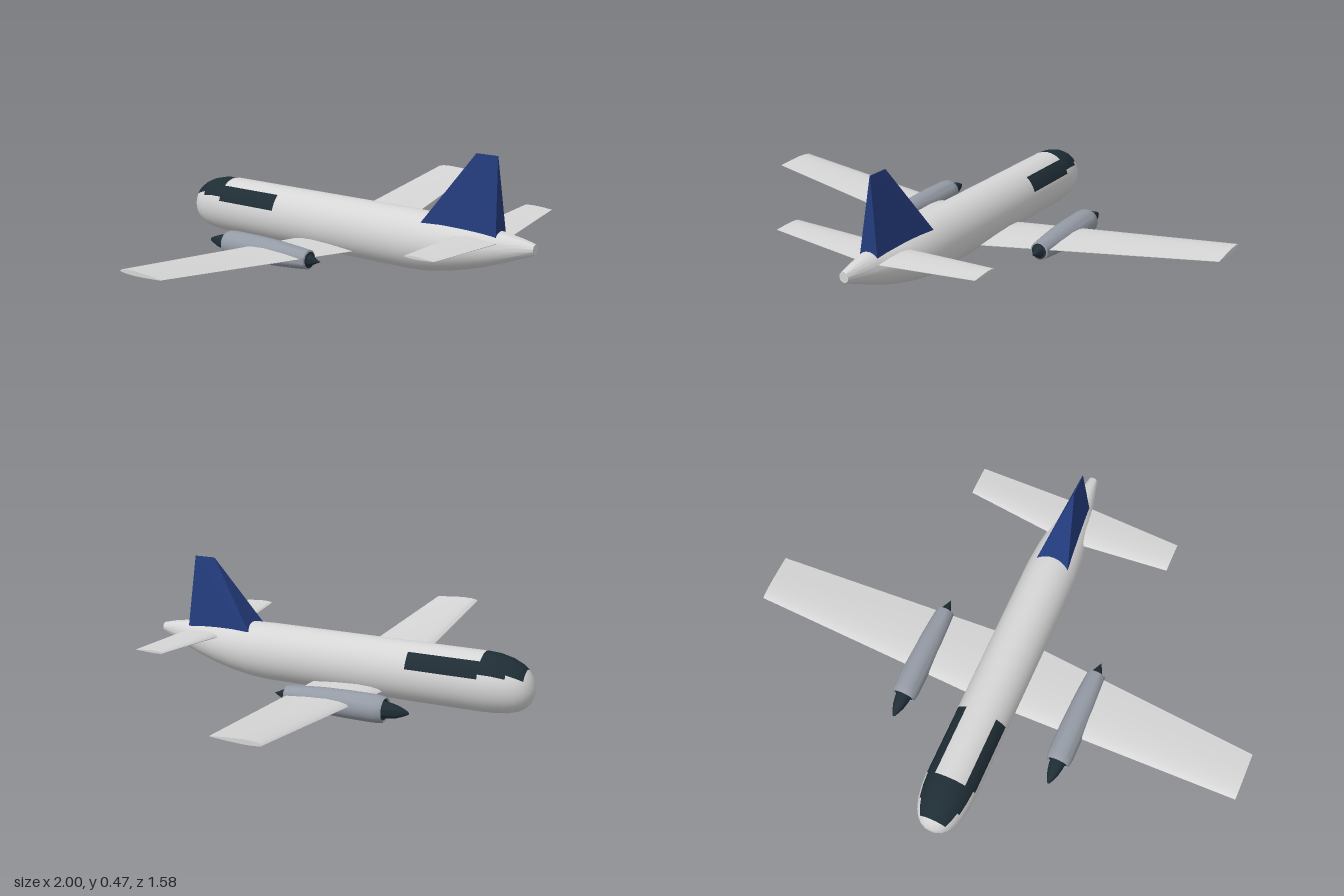
import * as THREE from 'three';
import { toCreasedNormals } from 'three/addons/utils/BufferGeometryUtils.js';

const paint = (name, color) => {
  const m = new THREE.MeshStandardMaterial({ color });
  m.name = name;
  return m;
};

// Skin closed rings of points; pick(i, j) chooses the material slot of each quad.
function loft(rings, crease, pick = () => 0) {
  const n = rings[0].length;
  const slots = [[], []];
  for (let i = 0; i < rings.length - 1; i++) {
    for (let j = 0; j < n; j++) {
      const k = (j + 1) % n;
      const a = i * n + j, b = i * n + k, c = a + n, d = b + n;
      slots[pick(i, j)].push(a, b, c, b, d, c);
    }
  }
  const geo = new THREE.BufferGeometry();
  geo.setAttribute('position', new THREE.Float32BufferAttribute(rings.flat(2), 3));
  geo.setIndex(slots.flat());
  geo.addGroup(0, slots[0].length, 0);
  if (slots[1].length) geo.addGroup(slots[0].length, slots[1].length, 1);
  return toCreasedNormals(geo, crease);
}

// Airfoil half-thickness along the chord (0 = leading edge)
const FOIL = [[0, 0], [0.04, 0.5], [0.15, 0.85], [0.35, 1], [0.65, 0.7], [1, 0.08]];
function foilRing({ x, y, front, back, thick }) {
  const at = (t, h) => [x, y + h * thick / 2, front + t * (back - front)];
  return [
    ...FOIL.map(([t, h]) => at(t, h)),
    ...FOIL.slice(1).reverse().map(([t, h]) => at(t, -h * 0.7)),
  ];
}

// Tip-to-tip surface: mirrored tips around a shared root, with closed ends
function liftingSurface(root, tip) {
  const left = foilRing(tip), right = foilRing({ ...tip, x: -tip.x });
  const cap = (r) => r.map(() => [r[0][0], tip.y, (tip.front + tip.back) / 2]);
  return loft([cap(right), right, foilRing(root), left, cap(left)], 0.6);
}

export function createModel() {
  const body = paint('light grey paint', 0xd6d6d6);
  const glass = paint('dark glazing', 0x1f2d35);
  const metal = paint('engine grey', 0x959ba5);
  const blue = paint('blue fin paint', 0x233b7b);

  const model = new THREE.Group();
  model.name = 'airplane';
  const add = (name, geo, mat, parent = model) => {
    const mesh = new THREE.Mesh(geo, mat);
    mesh.name = name;
    parent.add(mesh);
    return mesh;
  };

  // Fuselage sections: z, bottom, top, half width
  const sections = [
    [-0.79, 0.1, 0.1, 0], [-0.787, 0.077, 0.126, 0.024], [-0.777, 0.052, 0.153, 0.045],
    [-0.76, 0.033, 0.178, 0.064], [-0.735, 0.018, 0.197, 0.079], [-0.7, 0.008, 0.213, 0.092],
    [-0.65, 0.002, 0.225, 0.101], [-0.6, 0, 0.228, 0.105], [-0.32, 0, 0.228, 0.105],
    [0, 0, 0.228, 0.105], [0.28, 0, 0.228, 0.105], [0.36, 0.005, 0.226, 0.104],
    [0.44, 0.018, 0.221, 0.098], [0.52, 0.037, 0.214, 0.086], [0.6, 0.061, 0.206, 0.069],
    [0.67, 0.087, 0.198, 0.05], [0.74, 0.115, 0.187, 0.031], [0.79, 0.136, 0.175, 0.019],
  ];
  const SIDES = 40;
  const hull = sections.map(([z, lo, hi, w]) => Array.from({ length: SIDES }, (_, j) => {
    const t = j / SIDES * Math.PI * 2;
    return [w * Math.cos(t), (lo + hi) / 2 + (hi - lo) / 2 * Math.sin(t), z];
  }));
  // Windscreen wraps over the nose, side windows run behind it
  const glazed = (i, j) => {
    const side = Math.min(j, SIDES / 2 - 1 - j);
    if (i >= 3 && i < 7) return side >= (i < 5 ? 4 : 3) ? 1 : 0;
    return i === 7 && side >= 2 && side < 6 ? 1 : 0;
  };
  add('fuselage', loft(hull, 0.7, glazed), [body, glass]);
  const tailCap = add('tailCap', new THREE.CircleGeometry(1, 24), body);
  tailCap.scale.set(0.019, 0.0195, 1);
  tailCap.position.set(0, 0.1555, 0.79);

  // Wing and tailplane, both with upswept tips
  add('wing', liftingSurface(
    { x: 0, y: 0.034, front: -0.225, back: 0.071, thick: 0.036 },
    { x: 1, y: 0.148, front: -0.225, back: -0.035, thick: 0.02 }), body);
  add('tailplane', liftingSurface(
    { x: 0, y: 0.162, front: 0.488, back: 0.663, thick: 0.03 },
    { x: 0.425, y: 0.189, front: 0.52, back: 0.64, thick: 0.012 }), body);

  // Fin: wedge closing to a sharp top edge
  const finBase = [[0.074, 0.17, 0.335], [-0.074, 0.17, 0.335], [-0.039, 0.17, 0.653], [0.039, 0.17, 0.653]];
  const finTop = [[0.001, 0.47, 0.545], [-0.001, 0.47, 0.545], [-0.001, 0.47, 0.632], [0.001, 0.47, 0.632]];
  const finCap = finTop.map(() => [0, 0.47, 0.59]);
  add('fin', loft([finBase, finTop, finCap], 0.1), blue);

  // Engines: profiles are [radius, z], revolved about z from rear to front
  const turned = (profile) => {
    const pts = profile.map(([r, z]) => new THREE.Vector2(r, -z));
    return toCreasedNormals(new THREE.LatheGeometry(pts, 28).rotateX(-Math.PI / 2), 0.7);
  };
  const nacelle = turned([
    [0.03, 0.048], [0.036, 0.045], [0.042, -0.02], [0.048, -0.1], [0.051, -0.2], [0.051, -0.31],
    [0.048, -0.338], [0.044, -0.346], [0.038, -0.342],
  ]);
  const spinner = turned([
    [0.038, -0.342], [0.031, -0.336], [0.029, -0.36], [0.023, -0.39], [0.014, -0.415], [0.006, -0.432], [0, -0.437],
  ]);
  const exhaust = turned([[0, 0.097], [0.012, 0.072], [0.022, 0.05], [0.03, 0.048]]);
  for (const side of [1, -1]) {
    const engine = new THREE.Group();
    engine.name = side > 0 ? 'leftEngine' : 'rightEngine';
    engine.position.set(side * 0.33, 0.068, 0);
    add('nacelle', nacelle, metal, engine);
    add('spinner', spinner, glass, engine);
    add('exhaustCone', exhaust, glass, engine);
    model.add(engine);
  }
  return model;
}
